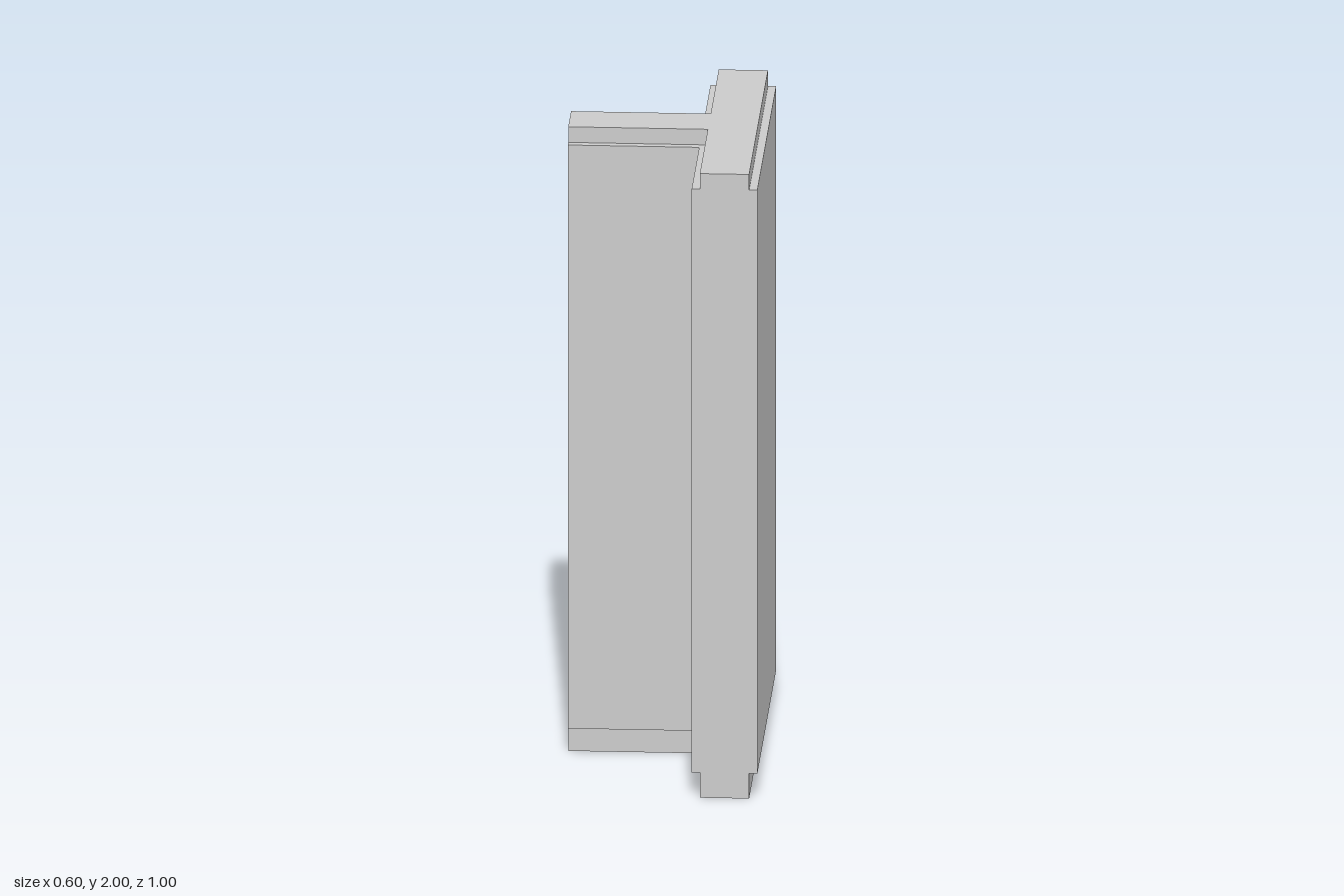
import * as THREE from 'three';

const material = new THREE.MeshStandardMaterial({ color: 0xcccccc, flatShading: true });

// T-shaped slab from y0 to y1; inset narrows the long faces, the ends stay flush
function tSlab(name, inset, y0, y1) {
  const inner = 0.1 + inset, outer = 0.3 - inset, half = 0.1 - inset;
  const shape = new THREE.Shape([
    [-0.3, -half], [inner, -half], [inner, -0.5], [outer, -0.5],
    [outer, 0.5], [inner, 0.5], [inner, half], [-0.3, half],
  ].map(([x, y]) => new THREE.Vector2(x, y)));
  const geometry = new THREE.ExtrudeGeometry(shape, { depth: y1 - y0, bevelEnabled: false });
  geometry.rotateX(-Math.PI / 2).translate(0, y0, 0);
  const mesh = new THREE.Mesh(geometry, material);
  mesh.name = name;
  return mesh;
}

export function createModel() {
  const group = new THREE.Group();
  group.name = 'tWallJunction';
  group.add(
    tSlab('baseRecess', 0.025, 0, 0.08),
    tSlab('wallBody', 0, 0.08, 1.95),
    tSlab('topRecess', 0.025, 1.95, 2),
  );
  return group;
}
